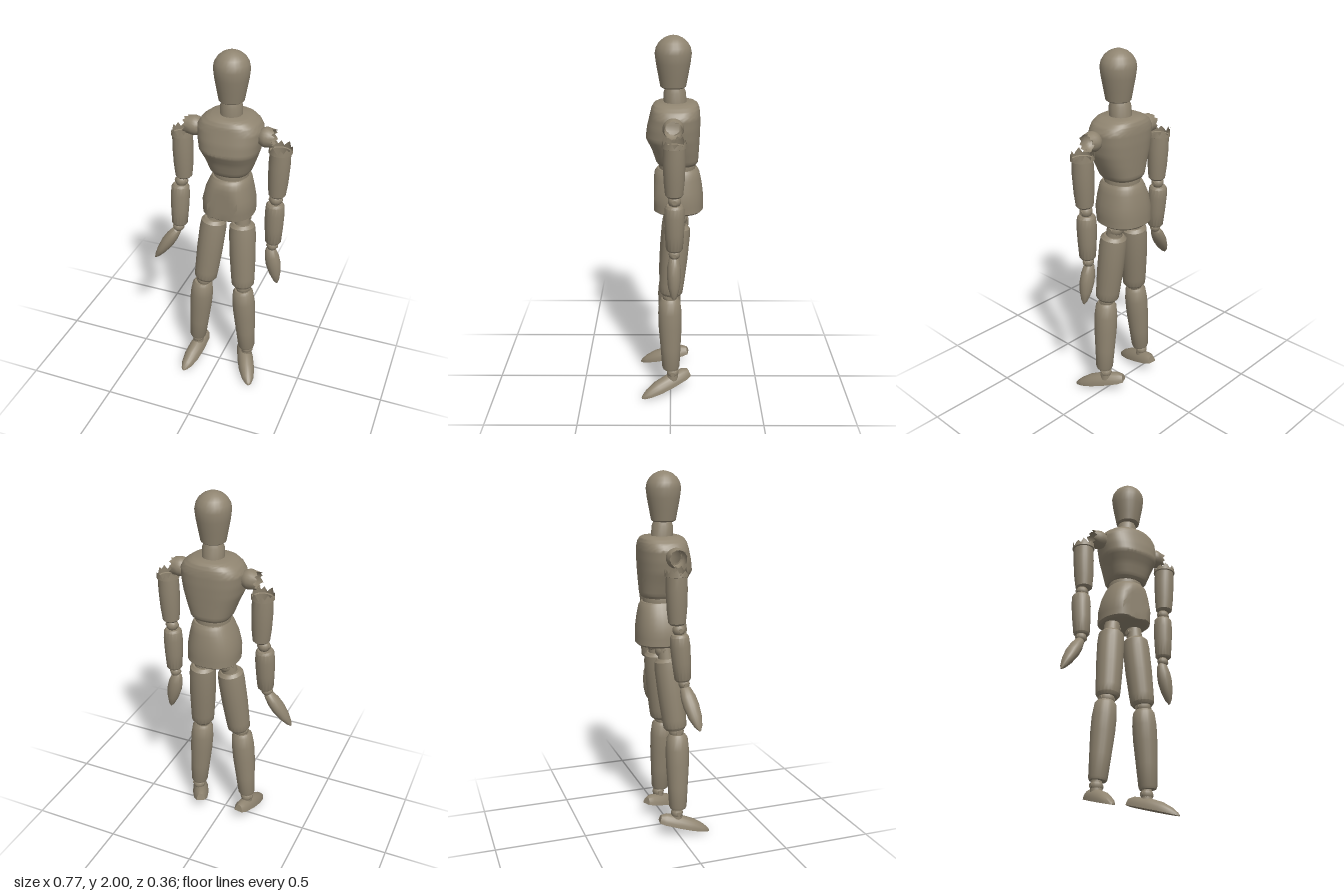
import * as THREE from 'three';
import { toCreasedNormals } from 'three/addons/utils/BufferGeometryUtils.js';

const wood = new THREE.MeshStandardMaterial({ color: 0x8f8470, side: THREE.DoubleSide });
wood.name = 'weathered wood';

const V = (x, y, z) => new THREE.Vector3(x, y, z);

// Repeating pattern for splintered rims
const splinter = [0.1, 0.8, 0.3, 1, 0.5, 0.9, 0, 0.4, 0.7, 0.2, 1, 0.6];

// Skin through rings [y, x0, x1, z0, z1] of superelliptic outline
function loft(rings, { seg = 20, power = 2, min = -9, max = 9, skip = null, jag = 0,
  openStart = false, openEnd = false, steps = 1 } = {}) {
  const rows = [];
  rings.forEach((r, i) => {
    const next = rings[i + 1];
    if (!next) return rows.push(r);
    for (let k = 0; k < steps; k++) rows.push(r.map((v, n) => v + (next[n] - v) * k / steps));
  });
  const bend = v => Math.sign(v) * Math.abs(v) ** (2 / power);
  const pts = rows.map(([y, x0, x1, z0, z1], i) => Array.from({ length: seg }, (_, j) => {
    const a = j / seg * Math.PI * 2;
    const x = (x0 + x1) / 2 + bend(Math.sin(a)) * (x1 - x0) / 2;
    const z = (z0 + z1) / 2 + bend(Math.cos(a)) * (z1 - z0) / 2;
    const rim = i === rows.length - 1 ? jag * splinter[j % splinter.length] : 0;
    return V(x, y + rim, Math.min(max, Math.max(min, z)));
  }));
  const out = [];
  const tri = (a, b, c) => {
    const mid = a.clone().add(b).add(c).divideScalar(3);
    if (!skip || !skip(mid)) for (const p of [a, b, c]) out.push(p.x, p.y, p.z);
  };
  const centre = row => row.reduce((s, p) => s.add(p), V(0, 0, 0)).divideScalar(seg);
  const first = pts[0], last = pts[pts.length - 1];
  const c0 = centre(first), c1 = centre(last);
  for (let j = 0; j < seg; j++) {
    const k = (j + 1) % seg;
    for (let i = 0; i < pts.length - 1; i++) {
      tri(pts[i][j], pts[i][k], pts[i + 1][k]);
      tri(pts[i][j], pts[i + 1][k], pts[i + 1][j]);
    }
    if (!openStart) tri(c0, first[k], first[j]);
    if (!openEnd) tri(c1, last[j], last[k]);
  }
  const geo = new THREE.BufferGeometry();
  geo.setAttribute('position', new THREE.Float32BufferAttribute(out, 3));
  return toCreasedNormals(geo, 0.6);
}

export function createModel() {
  const model = new THREE.Group();
  model.name = 'jointedMannequin';

  const add = (name, geo) => {
    const mesh = new THREE.Mesh(geo, wood);
    mesh.name = name;
    model.add(mesh);
    return mesh;
  };

  // Part running from a to b; profile rows are [fraction, half width, half depth]
  const limb = (name, a, b, profile, opts = {}, ref = V(0, 0, 1)) => {
    const dir = b.clone().sub(a), len = dir.length();
    dir.normalize();
    const side = dir.clone().cross(ref).normalize();
    const geo = loft(profile.map(([t, w, d = w]) => [t * len, -w, w, -d, d]), { seg: 16, ...opts });
    geo.applyMatrix4(new THREE.Matrix4().makeBasis(side, dir, side.clone().cross(dir)).setPosition(a));
    return add(name, geo);
  };

  // Ball joint with a sideways pin
  const joint = (name, p, r) => {
    const ball = add(name, new THREE.SphereGeometry(r, 14, 10));
    ball.position.copy(p);
    const pin = add(name + 'Pin', new THREE.CylinderGeometry(r * 0.35, r * 0.35, r * 2.1, 10));
    pin.rotation.z = Math.PI / 2;
    pin.position.copy(p);
  };

  // Head and neck
  const headRows = [[1.735, 0.056], [1.742, 0.066], [1.8, 0.077], [1.86, 0.088], [1.91, 0.094],
    [1.94, 0.088], [1.965, 0.073], [1.985, 0.05], [1.996, 0.025], [2, 0.004]];
  add('head', loft(headRows.map(([y, r]) =>
    [y, 0.059 - r, 0.059 + r, -0.013 - r, -0.013 + r]), { seg: 24 }));
  limb('neck', V(0.055, 1.64, -0.025), V(0.056, 1.745, -0.018), [[0, 0.06], [0.7, 0.057], [1, 0.045]]);

  // Chest with open shoulder sockets
  add('chest', loft([
    [1.335, -0.045, 0.155, -0.135, 0.065], [1.35, -0.055, 0.167, -0.145, 0.077],
    [1.42, -0.08, 0.193, -0.149, 0.1], [1.48, -0.105, 0.214, -0.152, 0.13],
    [1.54, -0.115, 0.222, -0.154, 0.122], [1.6, -0.118, 0.224, -0.153, 0.107],
    [1.63, -0.1, 0.207, -0.149, 0.1], [1.652, -0.07, 0.177, -0.14, 0.088],
    [1.662, -0.045, 0.155, -0.125, 0.07],
  ], {
    seg: 48, power: 2.5, steps: 4,
    skip: p => Math.abs(p.x - 0.053) > 0.1 && Math.hypot(p.y - 1.565, p.z + 0.008) < 0.036,
  }));

  // Waist and pelvis, flattened at the front
  limb('waist', V(0.053, 1.285, -0.035), V(0.055, 1.35, -0.035), [[0, 0.09], [0.5, 0.097], [1, 0.09]], { seg: 24 });
  add('pelvis', loft([
    [1.075, -0.085, 0.175, -0.165, 0.085], [1.085, -0.097, 0.187, -0.175, 0.1],
    [1.16, -0.097, 0.188, -0.174, 0.108], [1.23, -0.08, 0.176, -0.165, 0.1],
    [1.29, -0.054, 0.162, -0.152, 0.085], [1.31, -0.043, 0.15, -0.14, 0.07],
  ], { seg: 32, power: 2.3, max: 0.088, steps: 2 }));

  // Legs: each side has its own pose
  const legs = [
    { n: 'right', hip: V(-0.025, 1.05, -0.045), thigh: [V(-0.042, 1.01, -0.03), V(-0.085, 0.61, 0.005)],
      knee: V(-0.093, 0.6, 0.008), shin: [V(-0.1, 0.585, 0.01), V(-0.139, 0.16, 0.002)],
      ankle: V(-0.142, 0.135, -0.005), foot: [V(-0.13, 0.088, -0.105), V(-0.167, 0.004, 0.18)] },
    { n: 'left', hip: V(0.118, 1.05, -0.045), thigh: [V(0.12, 1.01, -0.035), V(0.142, 0.61, 0)],
      knee: V(0.144, 0.6, 0.003), shin: [V(0.144, 0.585, 0.005), V(0.171, 0.16, -0.002)],
      ankle: V(0.17, 0.135, -0.012), foot: [V(0.115, 0.088, -0.105), V(0.245, 0.004, 0.16)] },
  ];
  for (const { n, hip, thigh, knee, shin, ankle, foot } of legs) {
    joint(n + 'Hip', hip, 0.045);
    limb(n + 'HipPeg', hip.clone().setY(1.1), thigh[0].clone().setY(0.99), [[0, 0.04], [1, 0.045]]);
    limb(n + 'Thigh', ...thigh, [[0, 0.055], [0.04, 0.07], [0.15, 0.074], [0.5, 0.073],
      [0.85, 0.067], [0.96, 0.064], [1, 0.052]], { seg: 20 });
    joint(n + 'Knee', knee, 0.042);
    limb(n + 'Shin', ...shin, [[0, 0.046], [0.04, 0.058], [0.2, 0.065], [0.4, 0.064],
      [0.7, 0.056], [0.97, 0.049], [1, 0.044]], { seg: 20 });
    joint(n + 'Ankle', ankle, 0.034);
    limb(n + 'AnklePeg', ankle.clone().setY(0.17), ankle.clone().setY(0.09), [[0, 0.028], [1, 0.032]]);
    // Flat-soled foot, pitched toe down
    limb(n + 'Foot', ...foot, [[0, 0.025, 0.04], [0.1, 0.04, 0.054], [0.4, 0.048, 0.06], [0.65, 0.046, 0.053],
      [0.85, 0.034, 0.034], [0.96, 0.018, 0.016], [1, 0.005, 0.006]], { min: 0, seg: 20 }, V(0, 1, 0));
  }

  // Arms with broken shoulder shells and splintered upper rims
  const arms = [
    { n: 'right', socket: [V(-0.105, 1.565, -0.012), V(-0.19, 1.565, -0.015)],
      upper: [V(-0.221, 1.232, -0.035), V(-0.226, 1.495, -0.04)], elbow: V(-0.235, 1.207, -0.03),
      fore: [V(-0.241, 1.185, -0.03), V(-0.244, 0.935, -0.01)], wrist: V(-0.25, 0.918, -0.005),
      hand: [V(-0.252, 0.905, -0.005), V(-0.385, 0.697, 0.035)], size: [0.036, 0.043] },
    { n: 'left', socket: [V(0.215, 1.565, -0.012), V(0.288, 1.565, -0.015)],
      upper: [V(0.315, 1.232, -0.018), V(0.324, 1.5, -0.018)], elbow: V(0.309, 1.207, -0.02),
      fore: [V(0.307, 1.185, -0.02), V(0.304, 0.935, -0.02)], wrist: V(0.3, 0.912, -0.02),
      hand: [V(0.289, 0.9, -0.018), V(0.337, 0.665, -0.018)], size: [0.042, 0.037] },
  ];
  for (const { n, socket, upper, elbow, fore, wrist, hand, size: [w, d] } of arms) {
    limb(n + 'ShoulderShell', ...socket, [[0, 0.038], [0.2, 0.049], [0.45, 0.054], [0.7, 0.05], [0.85, 0.046]],
      { openStart: true, openEnd: true, jag: 0.022, seg: 24 });
    limb(n + 'UpperArm', ...upper, [[0, 0.036], [0.04, 0.046], [0.3, 0.053], [0.7, 0.057], [0.96, 0.055],
      [0.97, 0.062], [1, 0.06]], { openEnd: true, jag: 0.035, seg: 24 });
    joint(n + 'Elbow', elbow, 0.034);
    limb(n + 'Forearm', ...fore, [[0, 0.04], [0.05, 0.049], [0.25, 0.053], [0.6, 0.05], [0.96, 0.044], [1, 0.036]]);
    joint(n + 'Wrist', wrist, 0.03);
    limb(n + 'Hand', ...hand, [[0, 0.4 * w, 0.4 * d], [0.06, 0.7 * w, 0.7 * d], [0.25, 0.95 * w, 0.95 * d],
      [0.45, w, d], [0.7, 0.78 * w, 0.85 * d], [0.9, 0.42 * w, 0.5 * d], [1, 0.1 * w, 0.12 * d]]);
  }

  return model;
}
